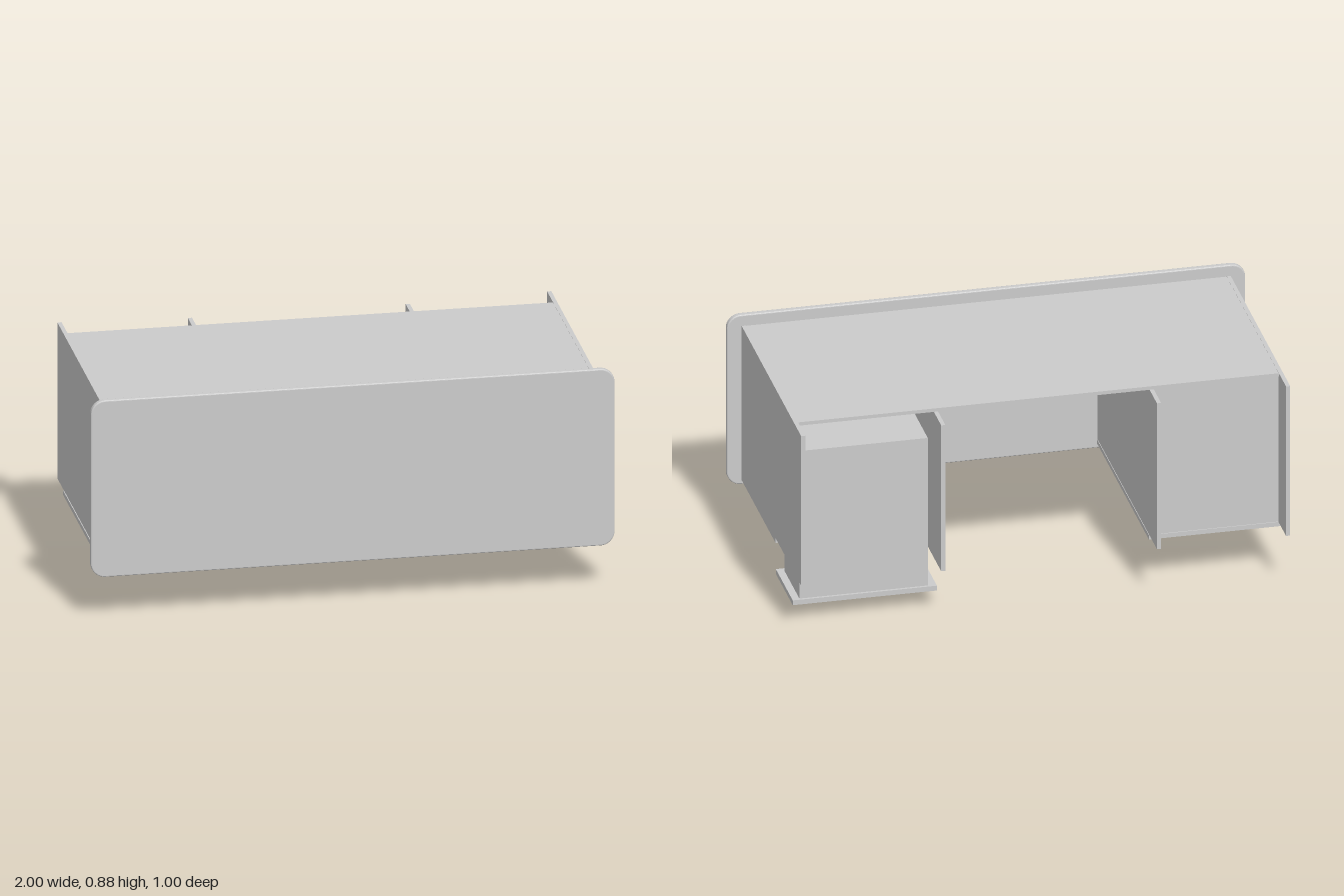
import * as THREE from 'three';

const material = new THREE.MeshStandardMaterial({ color: 0xcccccc, side: THREE.DoubleSide });

// Box given by its min and max on each axis
function slab(parent, name, x0, x1, y0, y1, z0, z1) {
  const mesh = new THREE.Mesh(new THREE.BoxGeometry(x1 - x0, y1 - y0, z1 - z0), material);
  mesh.position.set((x0 + x1) / 2, (y0 + y1) / 2, (z0 + z1) / 2);
  mesh.name = name;
  parent.add(mesh);
  return mesh;
}

// Rounded rectangle centred on the origin
function roundedRect(w, h, r) {
  const s = new THREE.Shape();
  const x = w / 2, y = h / 2;
  s.moveTo(-x + r, -y);
  s.lineTo(x - r, -y);
  s.absarc(x - r, -y + r, r, -Math.PI / 2, 0);
  s.absarc(x - r, y - r, r, 0, Math.PI / 2);
  s.absarc(-x + r, y - r, r, Math.PI / 2, Math.PI);
  s.absarc(-x + r, -y + r, r, Math.PI, Math.PI * 1.5);
  return s;
}

// Bowed pull handle hanging below a front at height y
function handle(parent, name, x, y, z, turned = false) {
  const points = [];
  for (let i = 0; i <= 16; i++) {
    const a = Math.PI * i / 16;
    points.push(new THREE.Vector3(0.083 * Math.cos(a), -0.057 * Math.sin(a), 0));
  }
  const path = new THREE.CatmullRomCurve3(points);
  const mesh = new THREE.Mesh(new THREE.TubeGeometry(path, 24, 0.008, 8), material);
  mesh.position.set(x, y, z);
  if (turned) mesh.rotation.y = Math.PI / 2;
  mesh.name = name;
  parent.add(mesh);
}

// Drawer: front plate, open box, pull handle and optional lock
function drawer(parent, name, z0, z1, y, hasLock) {
  const g = new THREE.Group();
  g.name = name;
  const T = 0.015, x0 = 0.42, x1 = 0.915, b0 = z0 + 0.01, b1 = z1 - 0.02;
  const yb = y + 0.02, ye = y + 0.635, xc = 0.665, zc = (z0 + z1) / 2;
  slab(g, 'drawerFront', 0.387, 0.943, y, yb, z0, z1);
  slab(g, 'drawerFloor', x0, x1, yb, ye, b0, b0 + T);
  slab(g, 'drawerSideLeft', x1 - T, x1, yb, ye, b0, b1);
  slab(g, 'drawerSideRight', x0, x0 + T, yb, ye, b0, b1);
  slab(g, 'drawerBack', x0, x1, ye - T, ye, b0, b1);
  handle(g, 'drawerHandle', xc, y, zc);
  if (hasLock) {
    const lock = new THREE.Mesh(new THREE.CylinderGeometry(0.023, 0.018, 0.012, 20), material);
    lock.position.set(xc, y - 0.005, zc + 0.08);
    lock.name = 'drawerLock';
    g.add(lock);
  }
  parent.add(g);
}

export function createModel() {
  const desk = new THREE.Group();
  desk.name = 'desk';

  // Worktop facing the front, with softened rim
  const b = 0.005;
  const topGeo = new THREE.ExtrudeGeometry(roundedRect(2 - 2 * b, 0.705 - 2 * b, 0.05), {
    depth: 0.024 - 2 * b, bevelEnabled: true, bevelThickness: b, bevelSize: b, bevelSegments: 3, curveSegments: 10,
  });
  const top = new THREE.Mesh(topGeo, material);
  top.position.set(0, 0.5275, 0.476 + b);
  top.name = 'worktop';
  desk.add(top);

  // Upright panels: two outer, two inner
  for (const [name, x] of [['outerPanelLeft', 0.935], ['outerPanelRight', -0.935],
    ['innerPanelLeft', 0.395], ['innerPanelRight', -0.437]]) {
    const outer = name.startsWith('outer');
    slab(desk, name, x - 0.008, x + 0.008, 0.212, outer ? 0.835 : 0.82, -0.5, 0.478);
  }

  // Panel closing the far side of the desk
  slab(desk, 'backPanel', -0.927, 0.927, 0.82, 0.834, -0.38, 0.478);

  // Drawer pedestal, lowest drawer pulled out
  drawer(desk, 'upperDrawer', 0.202, 0.476, 0.192, true);
  drawer(desk, 'middleDrawer', -0.08, 0.198, 0.192, true);
  drawer(desk, 'openDrawer', -0.362, -0.084, 0.065, false);

  // Cupboard with a single door
  slab(desk, 'cupboardFloor', -0.927, -0.445, 0.212, 0.82, -0.372, -0.357);
  slab(desk, 'cupboardDoor', -0.945, -0.428, 0.192, 0.21, -0.372, 0.476);
  handle(desk, 'doorHandle', -0.49, 0.195, 0.15, true);

  return desk;
}
